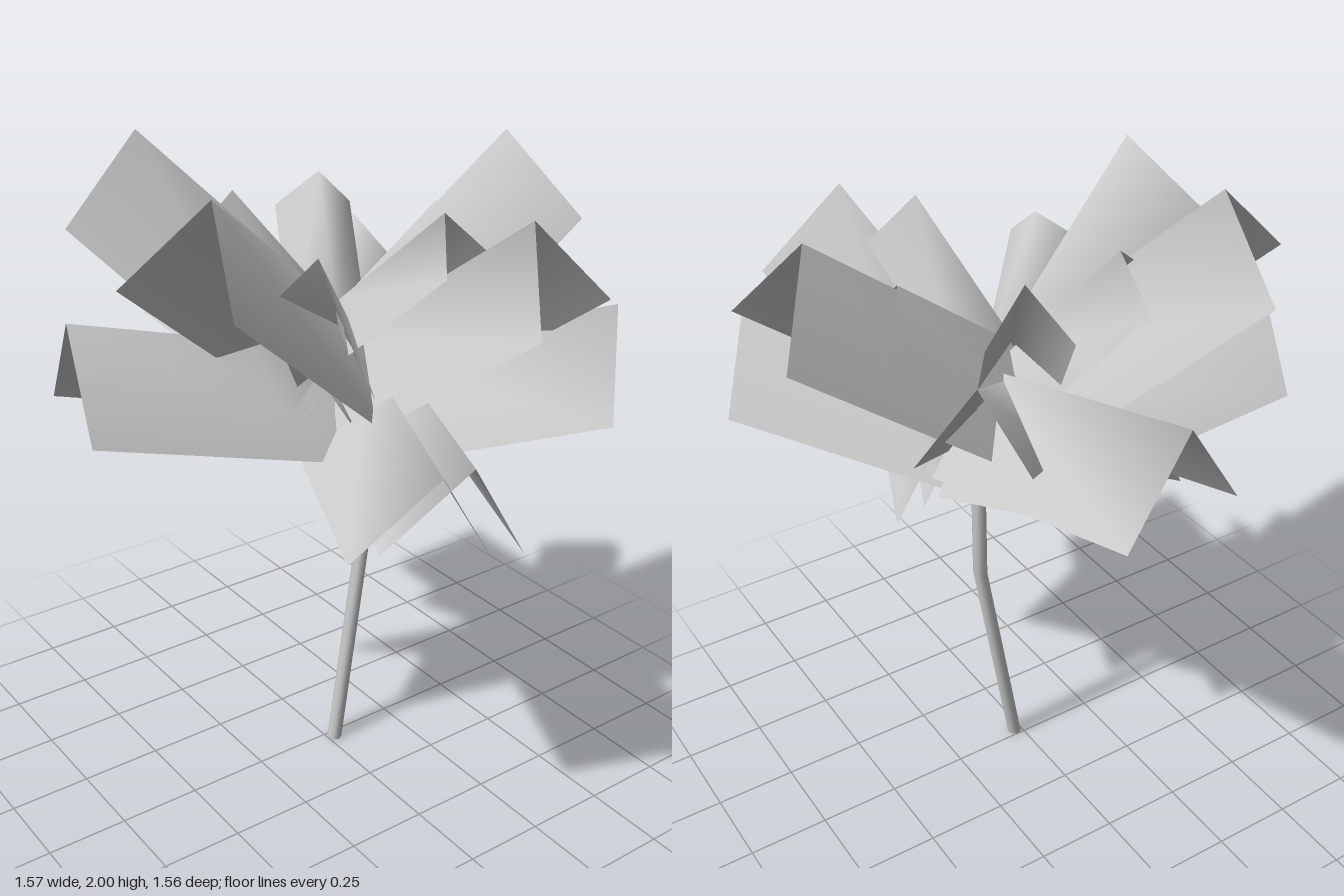
import * as THREE from 'three';

const material = new THREE.MeshStandardMaterial({ color: 0xcccccc, side: THREE.DoubleSide });

// Folded petal card: a ridge along z ending at the origin, one sloping side each way
function petalGeometry(eave) {
  const length = 0.81;
  const geometry = new THREE.BufferGeometry();
  geometry.setAttribute('position', new THREE.Float32BufferAttribute([
    -0.2, -0.28, eave, 0, 0, 0, 0.2, -0.28, eave,
    -0.2, -0.28, eave - length, 0, 0, -length, 0.2, -0.28, eave - length,
  ], 3));
  geometry.setIndex([0, 1, 4, 0, 4, 3, 1, 2, 5, 1, 5, 4]);
  geometry.computeVertexNormals();
  return geometry;
}

// Petals: ridge tip x, y, z, heading in degrees (0 = front), upward tilt, scale, roll
const rings = {
  lowerPetal: [
    [-0.755, 1.6, 0, -82, 12, 1],
    [0.573, 1.55, -0.597, 136, 14, 1],
    [0.78, 1.318, 0.195, 66, 0, 1, -6],
    [0.768, 1.308, 0.08, 67, 0, 1, -6],
    [-0.157, 1.56, 0.735, -11.5, 14, 1],
    [-0.535, 1.425, 0.085, -66, 10, 0.77],
  ],
  upperPetal: [
    [0.048, 1.937, -0.626, 176, 37, 1],
    [0.557, 1.84, -0.273, 109, 37, 1],
    [0.208, 1.94, 0.49, 16, 39, 1],
    [-0.36, 1.995, 0.385, -43, 41, 1],
    [-0.35, 1.63, -0.366, -132, 27, 0.77],
    [0.035, 1.76, -0.375, 177, 37, 0.7, 5],
  ],
  innerPetal: [
    [0.26, 1.75, 0.205, 38, 50, 0.56],
    [0.365, 1.84, -0.13, 106, 42, 0.58],
    [-0.247, 1.82, -0.157, -115, 48, 0.58],
    [-0.215, 1.82, 0.165, -45, 48, 0.58],
  ],
  centrePetal: [
    [0.1, 1.6, 0.07, 40, 60, 0.35],
    [0.07, 1.55, -0.12, 150, 62, 0.3],
    [0.15, 1.32, 0.1, 50, 15, 0.35],
    [-0.1, 1.28, 0.1, -40, 15, 0.35],
  ],
};

// How far the side edges stop short of the ridge tip
const eaves = { lowerPetal: -0.065, upperPetal: -0.033, innerPetal: -0.04, centrePetal: -0.04 };

function createStem() {
  // Leaning lower part and upright upper part, bent ring by ring
  const levels = [[0.024, 0, -0.024], [-0.006, 0.75, -0.163], [-0.006, 1.15, -0.163]];
  const geometry = new THREE.CylinderGeometry(0.022, 0.023, 2, 8, 2);
  const p = geometry.attributes.position;
  for (let i = 0; i < p.count; i++) {
    const [x, y, z] = levels[Math.round(p.getY(i) + 1)];
    p.setXYZ(i, p.getX(i) + x, y, p.getZ(i) + z);
  }
  geometry.computeVertexNormals();
  const stem = new THREE.Mesh(geometry, material);
  stem.name = 'stem';
  return stem;
}

export function createModel() {
  const model = new THREE.Group();
  model.name = 'flower';
  model.add(createStem());

  const rad = THREE.MathUtils.degToRad;
  for (const [name, petals] of Object.entries(rings)) {
    const geometry = petalGeometry(eaves[name]);
    petals.forEach(([x, y, z, heading, tilt, scale, roll = 0], i) => {
      const petal = new THREE.Mesh(geometry, material);
      petal.name = `${name}${i + 1}`;
      petal.position.set(x, y, z);
      petal.rotation.set(-rad(tilt), rad(heading), rad(roll), 'YXZ');
      petal.scale.setScalar(scale);
      model.add(petal);
    });
  }
  return model;
}
